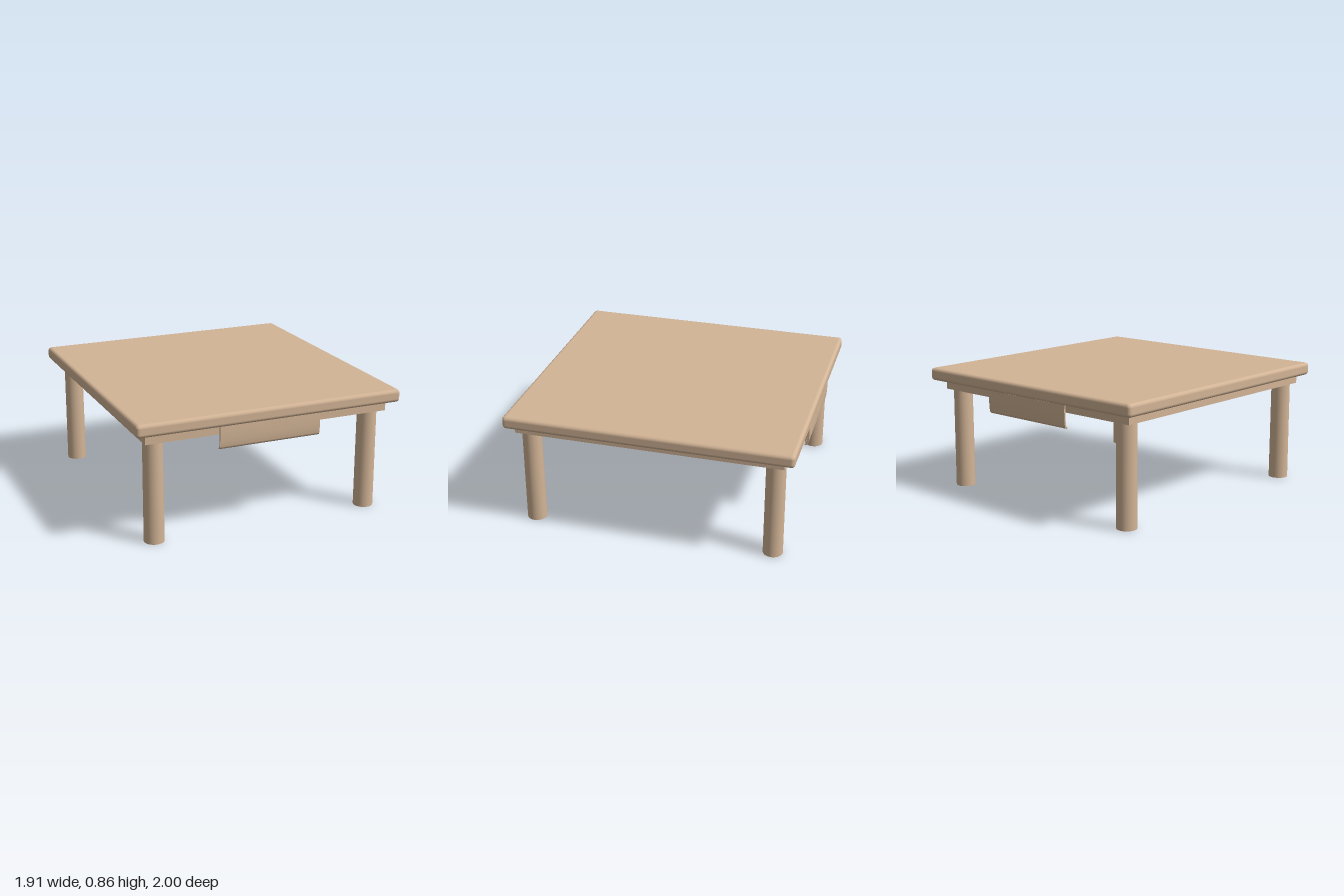
import * as THREE from 'three';
import { RoundedBoxGeometry } from 'three/addons/geometries/RoundedBoxGeometry.js';

const wood = new THREE.MeshStandardMaterial({ color: 0xd2b496, side: THREE.DoubleSide });

export function createModel() {
  const table = new THREE.Group();
  table.name = 'lowTable';

  const add = (name, geometry, x, y, z) => {
    const mesh = new THREE.Mesh(geometry, wood);
    mesh.name = name;
    mesh.position.set(x, y, z);
    table.add(mesh);
    return mesh;
  };

  // Softly rounded top and the solid frame slab beneath it
  add('tabletop', new RoundedBoxGeometry(1.91, 0.09, 2, 4, 0.026), 0, 0.817, 0);
  add('frame', new THREE.BoxGeometry(1.75, 0.066, 1.865), -0.005, 0.741, 0.012);

  // Round legs; the front left one is an open tube
  for (const x of [-0.8, 0.775]) {
    for (const z of [-0.85, 0.86]) {
      const open = x > 0 && z > 0;
      add('leg', new THREE.CylinderGeometry(0.067, 0.069, 0.71, 32, 1, open), x, 0.355, z);
    }
  }

  // Thin hanging flaps, their lower edge curling slightly inwards
  const profile = new THREE.Shape();
  profile.moveTo(0.984, 0.775);
  profile.quadraticCurveTo(0.988, 0.68, 0.98, 0.632);
  profile.quadraticCurveTo(0.975, 0.615, 0.957, 0.613);
  profile.lineTo(0.956, 0.621);
  profile.quadraticCurveTo(0.967, 0.625, 0.97, 0.64);
  profile.quadraticCurveTo(0.976, 0.69, 0.972, 0.775);
  const width = 0.725;
  for (const side of [1, -1]) {
    const geometry = new THREE.ExtrudeGeometry(profile, { depth: width, bevelEnabled: false, curveSegments: 8 });
    geometry.translate(0, 0, -width / 2);
    const flap = add(side > 0 ? 'frontFlap' : 'backFlap', geometry, -0.018, 0, side > 0 ? 0 : -0.003);
    flap.rotation.y = -side * Math.PI / 2;
  }

  return table;
}
